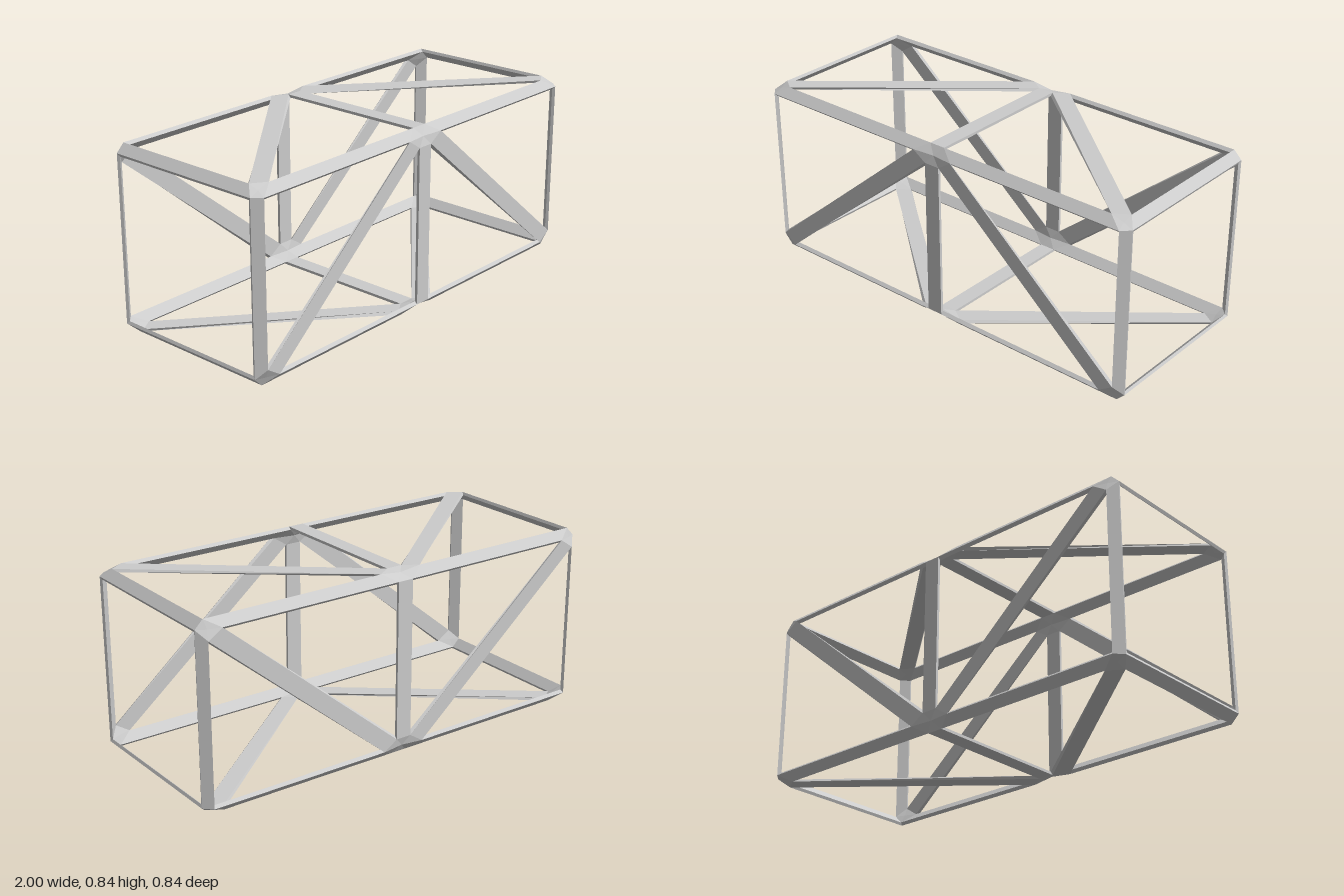
import * as THREE from 'three';

const HALF = 0.42;      // half height and half depth of the box frame
const INSET = 0.0375;   // distance of each opening from the frame lines
const THICK = new THREE.Vector3(0.006, 0.0125, 0.0125); // plate thickness by axis

export function createModel() {
  const group = new THREE.Group();
  const material = new THREE.MeshStandardMaterial({ color: 0xcccccc, flatShading: true });

  // Nodes: four long edges (top front, top back, bottom back, bottom front), three nodes each
  const corners = [[1, 1], [1, -1], [-1, -1], [-1, 1]];
  const nodes = [];
  for (const [y, z] of corners)
    for (const x of [-1, 0, 1]) nodes.push(new THREE.Vector3(x, y * HALF, z * HALF));
  const id = (corner, x) => corner * 3 + x + 1;

  // Panels: each long side has four triangles meeting at the middle of one edge
  const panels = [];
  for (let b = 0; b < 4; b++) {
    const a = (b + 3) % 4, apex = id(b, 0);
    panels.push(
      [id(a, -1), id(a, 0), apex], [id(a, 0), id(a, 1), apex],
      [id(a, 1), id(b, 1), apex], [id(b, -1), id(a, -1), apex]);
  }
  // Open square ends
  panels.push([0, 3, 2, 1].map(c => id(c, 1)), [0, 1, 2, 3].map(c => id(c, -1)));

  // Opening corners per panel, on the outer and inner skin
  const halfEdges = new Map();
  for (const panel of panels) {
    const n = panel.length;
    const outer = panel.map((v, i) => {
      const p = nodes[v];
      const u = nodes[panel[(i + 1) % n]].clone().sub(p).normalize();
      const w = nodes[panel[(i + n - 1) % n]].clone().sub(p).normalize();
      const sine = u.clone().cross(w).length();
      return u.add(w).multiplyScalar(INSET / sine).add(p);
    });
    const inner = outer.map((p, i) => {
      const s = nodes[panel[i]];
      const step = new THREE.Vector3(Math.sign(s.x), Math.sign(s.y), Math.sign(s.z));
      return p.clone().sub(step.multiply(THICK));
    });
    panel.forEach((a, i) => {
      const j = (i + 1) % n;
      halfEdges.set(`${a}-${panel[j]}`, {
        a, b: panel[j], prev: panel[(i + n - 1) % n],
        A: outer[i], B: outer[j], a2: inner[i], b2: inner[j],
      });
    });
  }

  // Triangles collected per part
  const parts = { longRails: [], endFrames: [], crossbars: [], diagonalBraces: [], nodePlates: [] };
  const tri = (list, ...pts) => pts.forEach(p => list.push(p.x, p.y + HALF, p.z));
  const quad = (list, a, b, c, d) => { tri(list, a, b, c); tri(list, a, c, d); };

  // Bars: a thin plate between the openings on both sides of every frame line
  const kind = (a, b) => {
    if (Math.floor(a / 3) === Math.floor(b / 3)) return 'longRails';
    if (a % 3 !== b % 3) return 'diagonalBraces';
    return a % 3 === 1 ? 'crossbars' : 'endFrames';
  };
  for (const e of halfEdges.values()) {
    if (e.a > e.b) continue;
    const t = halfEdges.get(`${e.b}-${e.a}`); // t.A is at node b, t.B at node a
    const list = parts[kind(e.a, e.b)];
    quad(list, t.B, t.A, e.B, e.A);
    quad(list, e.a2, e.b2, t.a2, t.b2);
    quad(list, e.A, e.B, e.b2, e.a2);
    quad(list, t.A, t.B, t.b2, t.a2);
  }

  // Node plates: a fan that joins all bars meeting at a node, on both skins
  nodes.forEach((_, v) => {
    const first = [...halfEdges.values()].find(e => e.a === v);
    const ring = [];
    let e = first;
    do {
      ring.push(e);
      e = halfEdges.get(`${v}-${e.prev}`);
    } while (e !== first);
    const centre = key => ring.reduce((s, r) => s.add(r[key]), new THREE.Vector3()).divideScalar(ring.length);
    const out = centre('A'), inn = centre('a2');
    ring.forEach((r, i) => {
      const next = ring[(i + 1) % ring.length];
      tri(parts.nodePlates, out, r.A, next.A);
      tri(parts.nodePlates, inn, next.a2, r.a2);
    });
  });

  for (const [name, list] of Object.entries(parts)) {
    const geometry = new THREE.BufferGeometry();
    geometry.setAttribute('position', new THREE.Float32BufferAttribute(list, 3));
    geometry.computeVertexNormals();
    const mesh = new THREE.Mesh(geometry, material);
    mesh.name = name;
    group.add(mesh);
  }
  group.name = 'boxTruss';
  return group;
}
